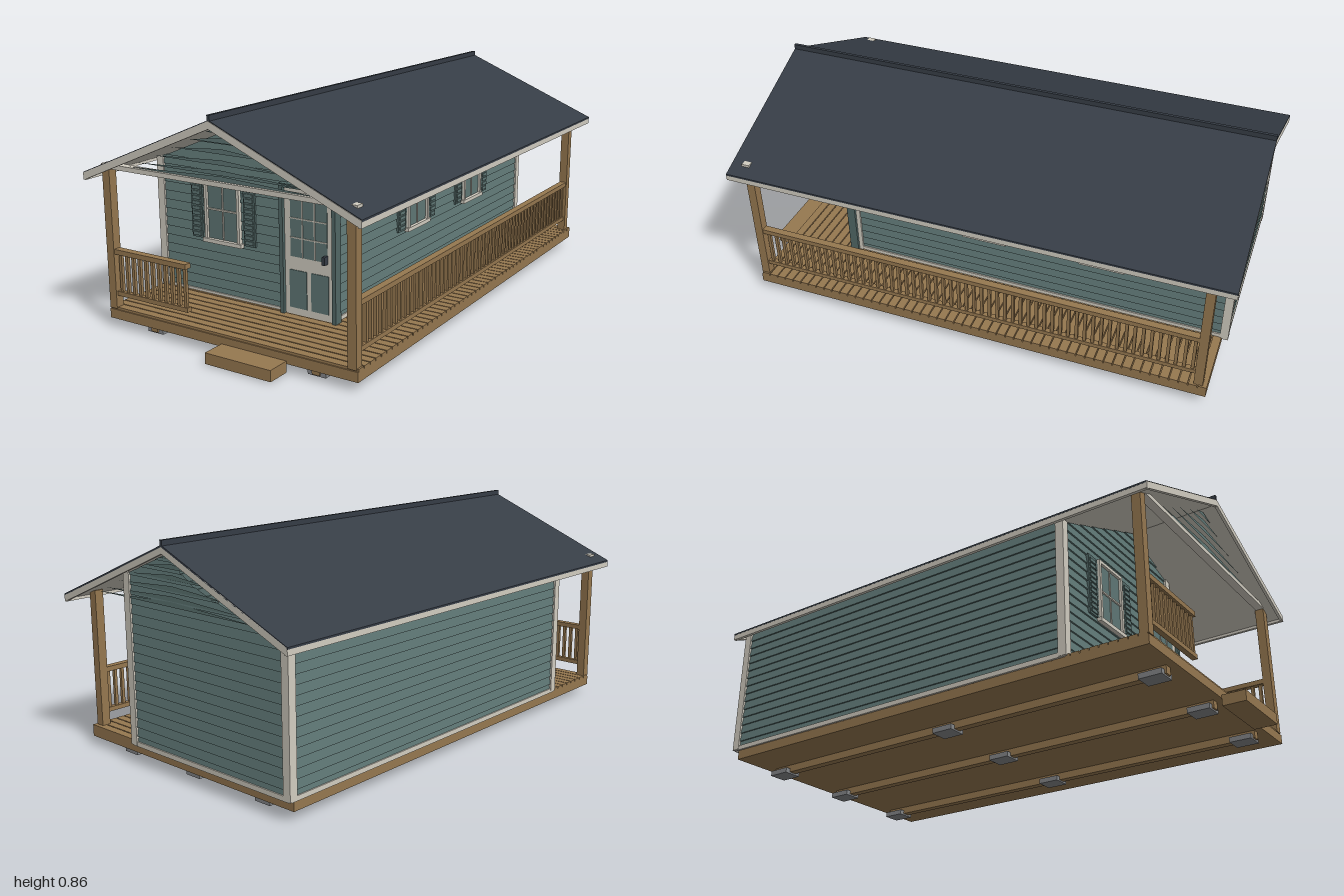
import * as THREE from 'three';

const paint = (name, color, side = THREE.FrontSide) => {
  const m = new THREE.MeshStandardMaterial({ color, side });
  m.name = name;
  return m;
};

export function createModel() {
  const root = new THREE.Group();
  root.name = 'cabin';
  const teal = paint('teal siding', 0x5f7775, THREE.DoubleSide);
  const shade = paint('dark teal', 0x526866);
  const cream = paint('cream trim', 0xd2cdc1);
  const wood = paint('brown wood', 0x967850);
  const slate = paint('slate roof', 0x363d46);
  const concrete = paint('grey pads', 0x85878a);

  const group = (name, parent = root) => {
    const g = new THREE.Group();
    g.name = name;
    parent.add(g);
    return g;
  };
  const add = (name, geo, mat, parent = root) => {
    const m = new THREE.Mesh(geo, mat);
    m.name = name;
    parent.add(m);
    return m;
  };
  // Box given by its limits
  const box = (name, mat, x0, x1, y0, y1, z0, z1, parent = root) => {
    const m = add(name, new THREE.BoxGeometry(x1 - x0, y1 - y0, z1 - z0), mat, parent);
    m.position.set((x0 + x1) / 2, (y0 + y1) / 2, (z0 + z1) / 2);
    return m;
  };

  // Foundation: skids on pads
  for (const x of [-0.355, 0, 0.355]) {
    box('skid', wood, x - 0.015, x + 0.015, 0.006, 0.036, -0.9, 0.88);
    for (const z of [-0.86, -0.02, 0.83])
      box('pad', concrete, x - 0.036, x + 0.036, 0, 0.02, z - 0.043, z + 0.043);
  }

  // Deck frame, boards and step
  box('deckFrame', wood, -0.54, 0.54, 0.035, 0.071, -0.94, 0.91);
  const boards = 52, pitch = 1.85 / boards;
  for (let i = 0; i < boards; i++) {
    const z = -0.94 + i * pitch;
    box('deckBoard', wood, -0.54, 0.54, 0.071, 0.08, z, z + pitch - 0.004);
  }
  box('step', wood, -0.015, 0.26, 0.005, 0.046, 0.911, 1);

  // Lap siding: one tilted board per row, local x along the wall and z outward
  const lapWall = (name, y0, y1, left, right, parent = root) => {
    const rows = Math.round((y1 - y0) / 0.035), h = (y1 - y0) / rows, out = 0.006;
    const pos = [];
    const quad = (a, b, c, d) => pos.push(...a, ...b, ...c, ...a, ...c, ...d);
    for (let i = 0; i < rows; i++) {
      const a = y0 + i * h, b = a + h;
      quad([left(a), a, out], [right(a), a, out], [right(b), b, 0], [left(b), b, 0]);
      quad([left(a), a, 0], [right(a), a, 0], [right(a), a, out], [left(a), a, out]);
    }
    const g = new THREE.BufferGeometry();
    g.setAttribute('position', new THREE.Float32BufferAttribute(pos, 3));
    g.computeVertexNormals();
    return add(name, g, teal, parent);
  };
  const slope = 0.42;
  const half = (y) => Math.max(0, (0.812 - y) / slope);
  lapWall('frontWall', 0.075, 0.81, (y) => -Math.min(0.54, half(y)), (y) => Math.min(0.255, half(y))).position.z = 0.605;
  const back = lapWall('backWall', 0.075, 0.6, () => -0.255, () => 0.54);
  back.rotation.y = Math.PI;
  back.position.z = -0.955;
  const right = lapWall('rightWall', 0.075, 0.704, () => -0.605, () => 0.955);
  right.rotation.y = Math.PI / 2;
  right.position.x = 0.255;
  const left = lapWall('leftWall', 0.075, 0.59, () => -0.955, () => 0.605);
  left.rotation.y = -Math.PI / 2;
  left.position.x = -0.54;

  // Back gable boards taper towards the middle
  const taper = (y) => Math.max(0, half(y) - 0.14 * Math.sin(Math.PI * Math.min(1, (y - 0.6) / 0.21)));
  const gable = lapWall('backGable', 0.6, 0.81, (y) => -Math.min(0.255, half(y)), (y) => Math.min(0.54, taper(y)));
  gable.rotation.y = Math.PI;
  gable.position.z = -0.955;

  // Thin slivers of siding across the open gables
  const sliver = (y, w, z) => {
    const s = new THREE.Shape([[-w, y], [w, y], [0, y + 0.018]].map((p) => new THREE.Vector2(...p)));
    add('gableSliver', new THREE.ShapeGeometry(s), teal).position.z = z;
  };
  for (const y of [0.622, 0.642, 0.677, 0.715, 0.752, 0.785]) {
    sliver(y, half(y) * 0.93, 0.9);
    sliver(y, half(y) * 0.93, -0.962);
  }

  // Corner and base trim
  const roofAt = (x) => 0.81 - Math.abs(x) * slope;
  for (const [x, z] of [[-0.54, 0.605], [0.255, 0.605], [-0.54, -0.955], [0.255, -0.955]]) {
    const sx = x > 0 ? 1 : -1, sz = z > 0 ? 1 : -1, top = roofAt(x) + 0.01;
    const g = group('cornerTrim');
    const span = (c, s, d) => [Math.min(c + s * 0.01, c - s * d), Math.max(c + s * 0.01, c - s * d)];
    box('cornerFace', cream, ...span(x, sx, 0.022), 0.075, top, ...span(z, sz, -0.001), g);
    box('cornerSide', cream, ...span(x, sx, -0.001), 0.075, top, ...span(z, sz, 0.022), g);
  }
  box('baseTrim', cream, -0.54, 0.04, 0.078, 0.09, 0.605, 0.613);
  box('baseTrim', cream, -0.54, 0.255, 0.072, 0.09, -0.963, -0.955);
  box('baseTrim', cream, 0.255, 0.263, 0.08, 0.095, -0.955, 0.605);
  box('baseTrim', cream, -0.548, -0.54, 0.072, 0.09, -0.955, 0.605);

  // Window with shutters, local origin at the middle of its foot on the wall
  const makeWindow = (x, y, z, turn) => {
    const g = group('window');
    g.position.set(x, y, z);
    g.rotation.y = turn;
    const w = 0.082, h = 0.245;
    box('glass', teal, -w, w, 0, h, 0, 0.008, g);
    for (const s of [-1, 1]) {
      box('windowSide', cream, s * (w - 0.006) - 0.006, s * (w - 0.006) + 0.006, 0, h, 0, 0.018, g);
      const c = s * 0.123;
      box('shutter', shade, c - 0.026, c + 0.026, 0.004, h - 0.005, 0, 0.011, g);
      for (let i = 0; i < 11; i++)
        box('shutterSlat', teal, c - 0.019, c + 0.019, 0.012 + i * 0.02, 0.025 + i * 0.02, 0.01, 0.015, g);
    }
    box('windowHead', cream, -w, w, h - 0.012, h, 0, 0.018, g);
    box('windowSill', cream, -w - 0.009, w + 0.009, -0.006, 0.009, 0, 0.022, g);
    box('mullion', cream, -0.0025, 0.0025, 0, h, 0, 0.012, g);
    box('meetingRail', cream, -w, w, 0.121, 0.127, 0, 0.014, g);
  };
  makeWindow(-0.235, 0.295, 0.605, 0);
  makeWindow(0.255, 0.295, 0.028, Math.PI / 2);
  makeWindow(0.255, 0.295, -0.455, Math.PI / 2);

  // Front door with nine panes and two lower panels
  const door = group('door');
  box('doorFrame', shade, 0.036, 0.052, 0.08, 0.567, 0.6, 0.635, door);
  box('doorFrame', shade, 0.26, 0.276, 0.08, 0.567, 0.6, 0.635, door);
  box('doorHead', shade, 0.036, 0.276, 0.553, 0.567, 0.6, 0.635, door);
  box('doorLeaf', cream, 0.052, 0.26, 0.08, 0.553, 0.6, 0.622, door);
  box('doorGlass', teal, 0.078, 0.235, 0.3, 0.515, 0.62, 0.624, door);
  for (const i of [1, 2]) {
    const x = 0.078 + i * 0.157 / 3, y = 0.3 + i * 0.215 / 3;
    box('doorMuntin', cream, x - 0.002, x + 0.002, 0.3, 0.515, 0.62, 0.627, door);
    box('doorMuntin', cream, 0.078, 0.235, y - 0.002, y + 0.002, 0.62, 0.627, door);
  }
  for (const x of [0.072, 0.165]) box('doorPanel', teal, x, x + 0.074, 0.107, 0.25, 0.62, 0.625, door);
  box('doorHandle', slate, 0.225, 0.237, 0.296, 0.326, 0.62, 0.645, door);

  // Porch posts and beams
  for (const [x, z] of [[-0.522, 0.893], [0.516, 0.893], [0.516, -0.907]])
    box('post', wood, x - 0.017, x + 0.017, 0.075, 0.605, z - 0.017, z + 0.017);
  box('frontBeam', cream, -0.54, 0.54, 0.605, 0.622, 0.88, 0.912);

  // Railings: local x runs along the rail
  const railing = (length, count, x, z, turn) => {
    const g = group('railing');
    g.position.set(x, 0, z);
    g.rotation.y = turn;
    box('topRail', wood, 0, length, 0.285, 0.304, -0.014, 0.014, g);
    box('bottomRail', wood, 0, length, 0.125, 0.142, -0.01, 0.01, g);
    for (let i = 0; i < count; i++) {
      const c = (i + 0.6) * length / count;
      box('picket', wood, c - 0.006, c + 0.006, 0.14, 0.287, -0.006, 0.006, g);
    }
  };
  railing(0.335, 11, -0.505, 0.893, 0);
  railing(1.766, 56, 0.516, 0.876, Math.PI / 2);

  // Roof: chevron sections run along the length
  const chevron = (name, mat, w, top, thick, z0, z1) => {
    const d = w * slope;
    const s = new THREE.Shape([[-w, top - d], [-w, top - d - thick], [0, top - thick],
      [w, top - d - thick], [w, top - d], [0, top]].map((p) => new THREE.Vector2(...p)));
    const m = add(name, new THREE.ExtrudeGeometry(s, { depth: z1 - z0, bevelEnabled: false }), mat);
    m.position.z = z0;
  };
  chevron('soffit', cream, 0.575, 0.832, 0.015, -0.99, 0.95);
  chevron('shingles', slate, 0.584, 0.839, 0.007, -1, 0.957);
  chevron('rakeTrim', cream, 0.58, 0.836, 0.027, 0.948, 0.959);
  chevron('rakeTrim', cream, 0.58, 0.836, 0.027, -1, -0.988);
  for (const s of [-1, 1])
    box('fascia', cream, s * 0.577 - 0.006, s * 0.577 + 0.006, 0.566, 0.592, -1, 0.959);
  box('ridgeCap', slate, -0.006, 0.006, 0.832, 0.856, -1, 0.957);
  return root;
}
